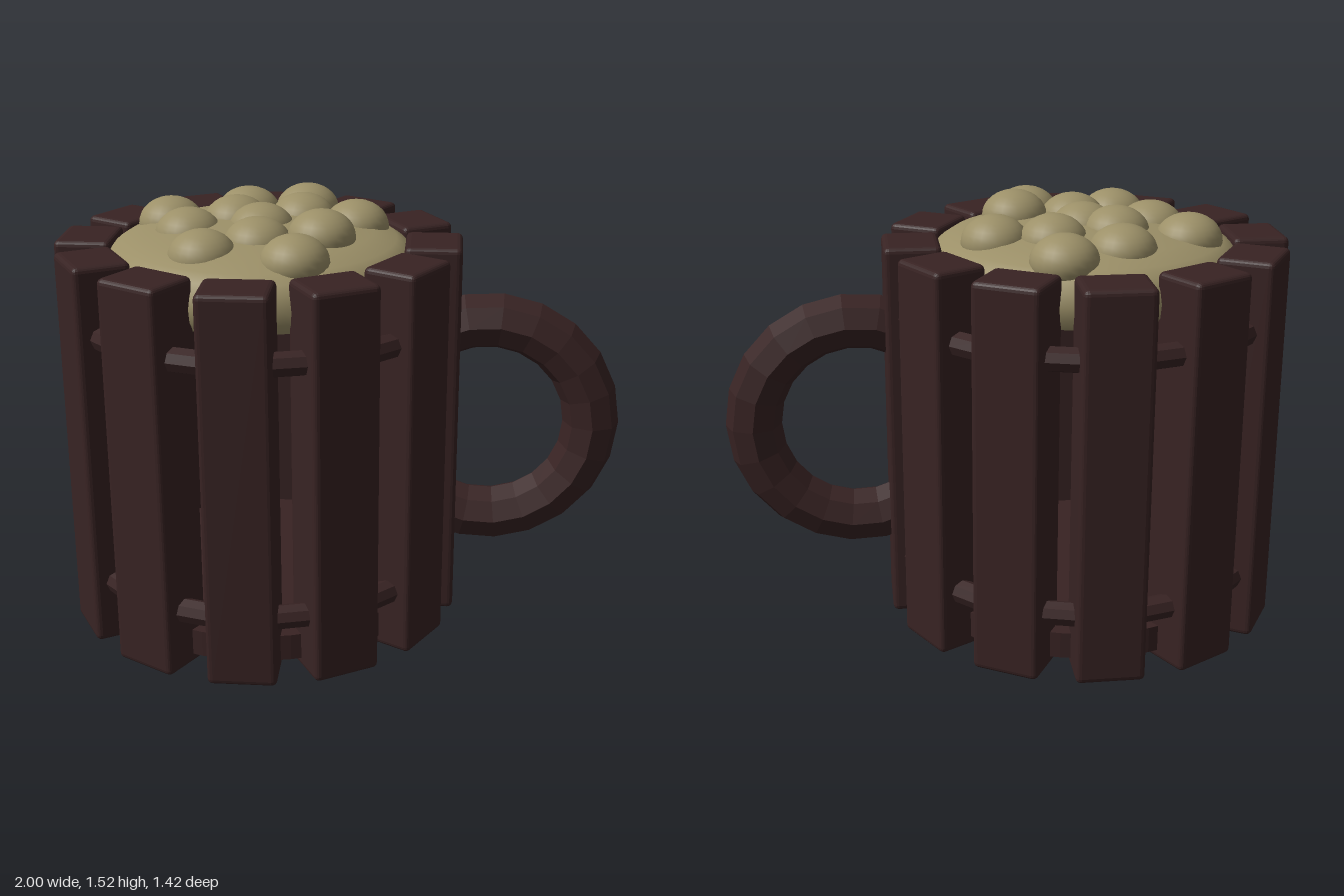
import * as THREE from 'three';
import { RoundedBoxGeometry } from 'three/addons/geometries/RoundedBoxGeometry.js';

export function createModel() {
  const wood = new THREE.MeshStandardMaterial({ name: 'dark wood', color: 0x382323 });
  wood.flatShading = true;
  const foamMat = new THREE.MeshStandardMaterial({ name: 'foam', color: 0x9c9068 });

  const model = new THREE.Group();
  model.name = 'mug';
  const barrel = new THREE.Group();
  barrel.name = 'barrel';
  barrel.position.x = -0.29;
  model.add(barrel);

  const add = (parent, name, geometry, material, x = 0, y = 0, z = 0) => {
    const mesh = new THREE.Mesh(geometry, material);
    mesh.name = name;
    mesh.position.set(x, y, z);
    parent.add(mesh);
    return mesh;
  };

  // Twelve upright staves with softened edges
  const staveGeo = new RoundedBoxGeometry(0.2, 1.386, 0.24, 2, 0.02);
  for (let i = 0; i < 12; i++) {
    const a = (i / 12) * Math.PI * 2;
    const stave = add(barrel, 'stave', staveGeo, wood, 0.61 * Math.cos(a), 0.693, 0.61 * Math.sin(a));
    stave.rotation.y = -a;
  }

  // Hoops running through the staves, and the floor
  for (const y of [0.225, 1.135]) {
    const hoop = add(barrel, 'hoop', new THREE.TorusGeometry(0.633, 0.043, 8, 36), wood, 0, y, 0);
    hoop.rotation.x = Math.PI / 2;
  }
  add(barrel, 'floor', new THREE.CylinderGeometry(0.6, 0.6, 0.095, 48), wood, 0, 0.083, 0);

  // Foam: closed, low dome
  const profile = [
    [0, 1.2], [0.53, 1.2], [0.53, 1.2], [0.55, 1.235], [0.555, 1.28], [0.545, 1.325], [0.52, 1.36],
    [0.48, 1.387], [0.4, 1.413], [0.28, 1.433], [0.14, 1.446], [0, 1.45],
  ].map(([r, y]) => new THREE.Vector2(r, y));
  add(barrel, 'foam', new THREE.LatheGeometry(profile, 48), foamMat);

  // Bubbles: x, z and top height
  const bubbleGeo = new THREE.SphereGeometry(0.117, 24, 16);
  const bubbles = [
    [-0.16, -0.39, 1.49], [-0.37, -0.3, 1.495], [-0.63, -0.145, 1.49], [-0.155, -0.17, 1.505],
    [0.04, -0.12, 1.495], [-0.385, -0.095, 1.51], [-0.285, -0.005, 1.505], [-0.535, 0.04, 1.495],
    [-0.06, 0.145, 1.523], [-0.275, 0.175, 1.5], [-0.445, 0.295, 1.485], [-0.13, 0.355, 1.49],
  ];
  for (const [x, z, top] of bubbles) {
    add(model, 'bubble', bubbleGeo, foamMat, x, top - 0.094, z).scale.y = 0.8;
  }

  // Handle: faceted ring whose ends are buried in the side stave
  const half = THREE.MathUtils.degToRad(118);
  const handle = add(model, 'handle', new THREE.TorusGeometry(0.375, 0.1, 8, 14, half * 2), wood, 0.523, 0.725, 0);
  handle.rotation.z = -half;

  return model;
}
